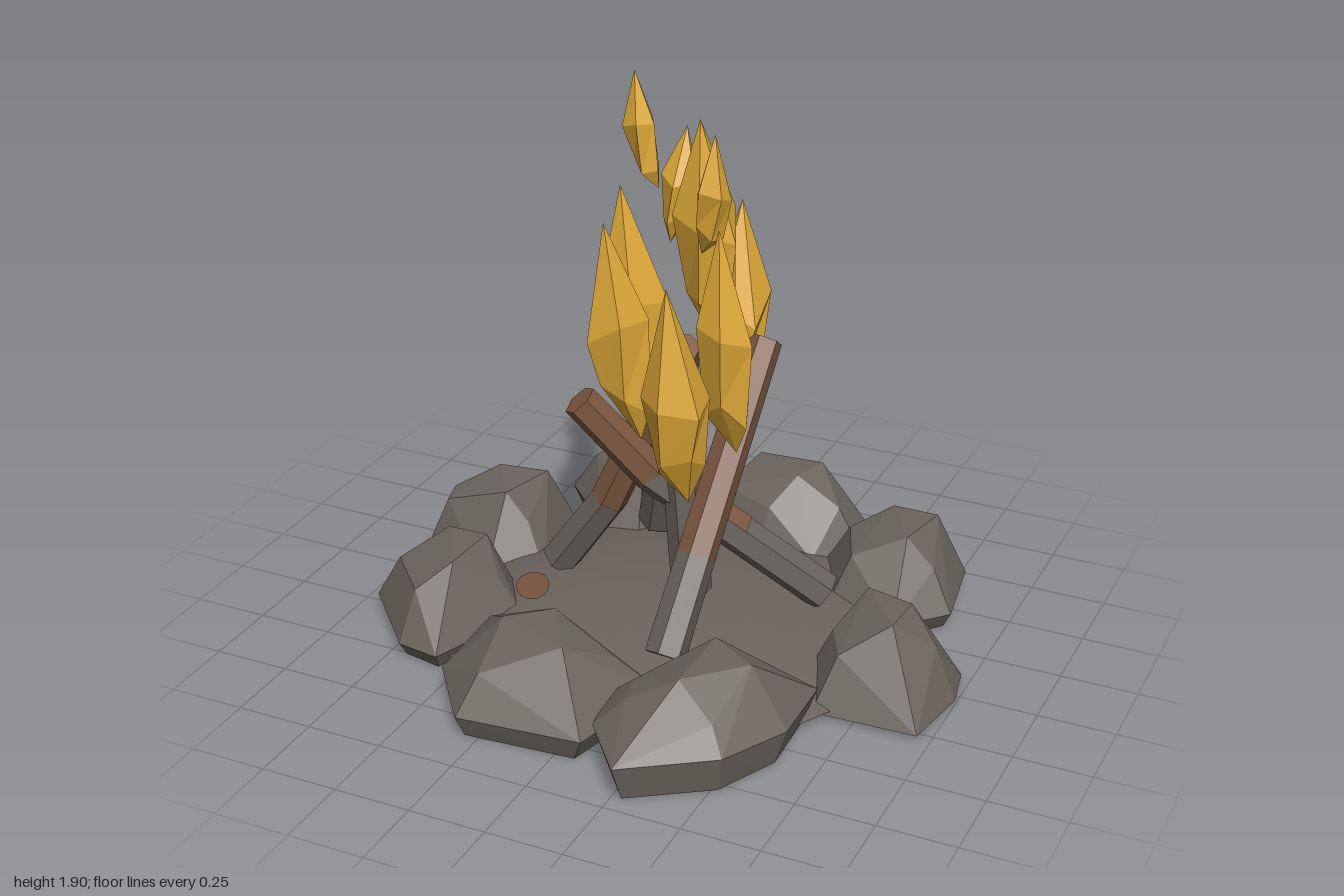
import * as THREE from 'three';
import { ConvexGeometry } from 'three/addons/geometries/ConvexGeometry.js';

const mat = (name, color, opts = {}) => {
  const m = new THREE.MeshStandardMaterial({ color, ...opts });
  m.name = name;
  return m;
};

export function createModel() {
  const stone = mat('stone', 0x6b645d, { flatShading: true });
  const earth = mat('ash earth', 0x6b645d, { side: THREE.DoubleSide });
  const char = mat('charred wood', 0x66605a, { flatShading: true });
  const wood = mat('brown wood', 0x7b563f, { flatShading: true });
  const patchMat = mat('ember patch', 0x7b563f, { side: THREE.DoubleSide });
  const fire = mat('flame', 0xdfa938, { flatShading: true });

  const root = new THREE.Group();
  root.name = 'campfire';
  const add = (parent, name, geo, material) => {
    const mesh = new THREE.Mesh(geo, material);
    mesh.name = name;
    parent.add(mesh);
    return mesh;
  };
  const group = (name) => {
    const g = new THREE.Group();
    g.name = name;
    root.add(g);
    return g;
  };

  // Low mound of earth inside the ring, open underneath
  const profile = [[0.74, 0.03], [0.6, 0.08], [0.4, 0.12], [0.2, 0.145], [0, 0.155]];
  const mound = new THREE.LatheGeometry(profile.map(([r, y]) => new THREE.Vector2(r, y)), 32);
  add(root, 'mound', mound, earth);

  // Scorched patch lying on the mound, seen from above and below
  const patch = new THREE.CircleGeometry(1, 12);
  patch.rotateX(-Math.PI / 2).scale(0.1, 1, 0.055).rotateY(-0.95).translate(-0.44, 0, 0.12);
  for (const lift of [0.005, -0.005]) {
    const g = patch.clone(), p = g.attributes.position;
    for (let i = 0; i < p.count; i++) {
      const r = Math.hypot(p.getX(i), p.getZ(i));
      const k = profile.findIndex(([pr]) => pr <= r);
      const [r0, y0] = profile[k - 1], [r1, y1] = profile[k];
      p.setY(i, y0 + (y1 - y0) * (r - r0) / (r1 - r0) + lift);
    }
    g.computeVertexNormals();
    add(root, 'scorchedPatch', g, patchMat);
  }

  let seed = 7;
  const rnd = () => (seed = (seed * 16807) % 2147483647) / 2147483647;

  // Ring of stones: a plan outline (x, z), drawn in at the foot and towards the middle of the top
  const stones = group('stoneRing');
  const rock = (girth, tx, tz, outline) => {
    const cx = outline.reduce((s, p) => s + p[0], 0) / outline.length;
    const cz = outline.reduce((s, p) => s + p[1], 0) / outline.length;
    const pts = [];
    outline.forEach(([x, z], i) => {
      const put = (s, y, ox = cx, oz = cz) => pts.push(new THREE.Vector3(ox + (x - cx) * s, y, oz + (z - cz) * s));
      put(0.88, 0);
      put(1, girth * (0.85 + 0.3 * rnd()));
      if (i % 2 === 0) put(0.68, 0.18 + 0.03 * rnd());
      else put(0.42, 0.275 + 0.012 * rnd(), tx, tz);
    });
    add(stones, 'stone', new ConvexGeometry(pts), stone);
  };
  rock(0.08, -0.39, -0.66, [[-0.68, -0.65], [-0.6, -0.83], [-0.37, -0.93], [-0.23, -0.87], [-0.17, -0.68], [-0.29, -0.37], [-0.44, -0.39]]);
  rock(0.06, 0.11, -0.75, [[-0.2, -0.62], [-0.15, -0.8], [0.15, -0.98], [0.4, -0.8], [0.42, -0.65], [0.3, -0.5], [0.1, -0.5]]);
  rock(0.06, 0.62, -0.54, [[0.34, -0.55], [0.42, -0.67], [0.62, -0.77], [0.79, -0.67], [0.84, -0.37], [0.7, -0.2], [0.45, -0.28]]);
  rock(0.015, 0.74, 0.03, [[0.52, 0.1], [0.6, -0.17], [0.77, -0.21], [0.97, -0.1], [1, 0.05], [0.96, 0.29], [0.62, 0.3]]);
  rock(0.11, 0.39, 0.54, [[0.07, 0.6], [0.27, 0.34], [0.64, 0.3], [0.65, 0.57], [0.54, 0.8], [0.27, 0.98], [0.11, 0.78]]);
  rock(0.08, -0.17, 0.57, [[-0.49, 0.42], [-0.2, 0.37], [0.19, 0.48], [0.1, 0.84], [-0.31, 0.87], [-0.48, 0.65]]);
  rock(0.06, -0.65, 0.22, [[-0.93, 0.29], [-0.86, 0.08], [-0.66, 0.02], [-0.54, 0.06], [-0.42, 0.23], [-0.55, 0.57], [-0.7, 0.54]]);
  rock(0.015, -0.72, -0.26, [[-1, -0.23], [-0.94, -0.37], [-0.78, -0.48], [-0.55, -0.46], [-0.51, -0.1], [-0.68, 0.02], [-0.98, -0.12]]);

  // Leaning logs: charred foot, bend, brown top end
  const V = (a) => new THREE.Vector3(...a);
  const UP = new THREE.Vector3(0, 1, 0);
  const limb = (parent, name, a, b, material, r0, r1, ...arc) => {
    const d = b.clone().sub(a);
    const m = add(parent, name, new THREE.CylinderGeometry(r1, r0, d.length() + 0.015, ...arc), material);
    m.position.copy(a).add(b).multiplyScalar(0.5);
    m.quaternion.setFromUnitVectors(UP, d.normalize());
  };
  const logs = group('logs');
  const SIDE = Math.PI / 3;
  // foot, bend, top, then brown strips on some sides of the foot: [from, to, first side, sides]
  [
    [[0.15, 0.13, 0.35], [0.165, 0.38, 0.16], [0.21, 0.96, -0.26]],
    [[0.46, 0.15, -0.19], [-0.06, 0.56, 0.01], [-0.25, 0.82, 0.12], [[0.5, 1, 1, 2]]],
    [[-0.42, 0.14, -0.05], [-0.24, 0.4, -0.05], [0, 0.93, -0.04]],
    [[-0.24, 0.15, -0.42], [-0.11, 0.62, -0.26], [0, 0.96, -0.1], [[0.08, 0.2, 3, 2], [0.55, 1, 3, 2]]],
    [[0.08, 0.17, 0], [0.03, 0.7, -0.01], [0, 0.95, -0.03]],
  ].forEach(([a, m, b, strips = []]) => {
    limb(logs, 'charredLog', V(a), V(m), char, 0.066, 0.063, 6);
    limb(logs, 'logEnd', V(m), V(b), wood, 0.063, 0.058, 6);
    for (const [t0, t1, first, n] of strips) {
      limb(logs, 'brownStrip', V(a).lerp(V(m), t0), V(a).lerp(V(m), t1), wood, 0.069, 0.067, n, 1, true, first * SIDE, n * SIDE);
    }
  });

  // Faceted flame: foot point, two uneven five-sided rings, tip
  const flame = (foot, [mx, mz], r, tip) => {
    const N = 5, f = V(foot), t = V(tip), h = t.y - f.y, tris = [];
    const ring = (s, y, end, k, turn) => Array.from({ length: N }, (_, i) => {
      const a = (i + turn) / N * Math.PI * 2;
      const q = r * s * (0.9 + 0.2 * rnd());
      return new THREE.Vector3(
        mx + (end.x - mx) * k + Math.sin(a) * q,
        f.y + h * (y + 0.14 * (rnd() - 0.5)),
        mz + (end.z - mz) * k + Math.cos(a) * q);
    });
    const turn = rnd();
    const lo = ring(0.76, 0.2, f, 0.4, turn), hi = ring(1, 0.53, t, 0.1, turn + 0.2);
    for (let i = 0; i < N; i++) {
      const j = (i + 1) % N;
      tris.push(f, lo[j], lo[i], lo[i], lo[j], hi[j], lo[i], hi[j], hi[i], hi[i], hi[j], t);
    }
    const g = new THREE.BufferGeometry().setFromPoints(tris);
    g.computeVertexNormals();
    return g;
  };
  const flames = group('flames');
  [
    [[0.14, 0.57, 0.16], [0.12, 0.21], 0.105, [0.1, 1.31, 0.24]],
    [[0.1, 0.67, -0.25], [0.1, -0.29], 0.105, [0.1, 1.4, -0.33]],
    [[0.1, 0.98, -0.13], [0.09, -0.1], 0.105, [0.07, 1.74, -0.07]],
    [[-0.08, 0.7, -0.1], [-0.18, -0.12], 0.115, [-0.21, 1.48, -0.09]],
    [[-0.07, 0.7, 0.06], [-0.14, 0.09], 0.105, [-0.16, 1.44, 0.13]],
    [[0.24, 0.7, 0.02], [0.22, 0.07], 0.095, [0.2, 1.46, 0.08]],
    [[0.13, 1.36, 0.05], [0.18, 0.08], 0.058, [0.19, 1.76, 0.09]],
    [[-0.09, 1.27, -0.2], [-0.06, -0.21], 0.058, [-0.05, 1.65, -0.24]],
    [[-0.03, 1.53, 0.01], [-0.08, 0.03], 0.052, [-0.1, 1.9, 0.03]],
  ].forEach((spec) => add(flames, 'flame', flame(...spec), fire));

  return root;
}
